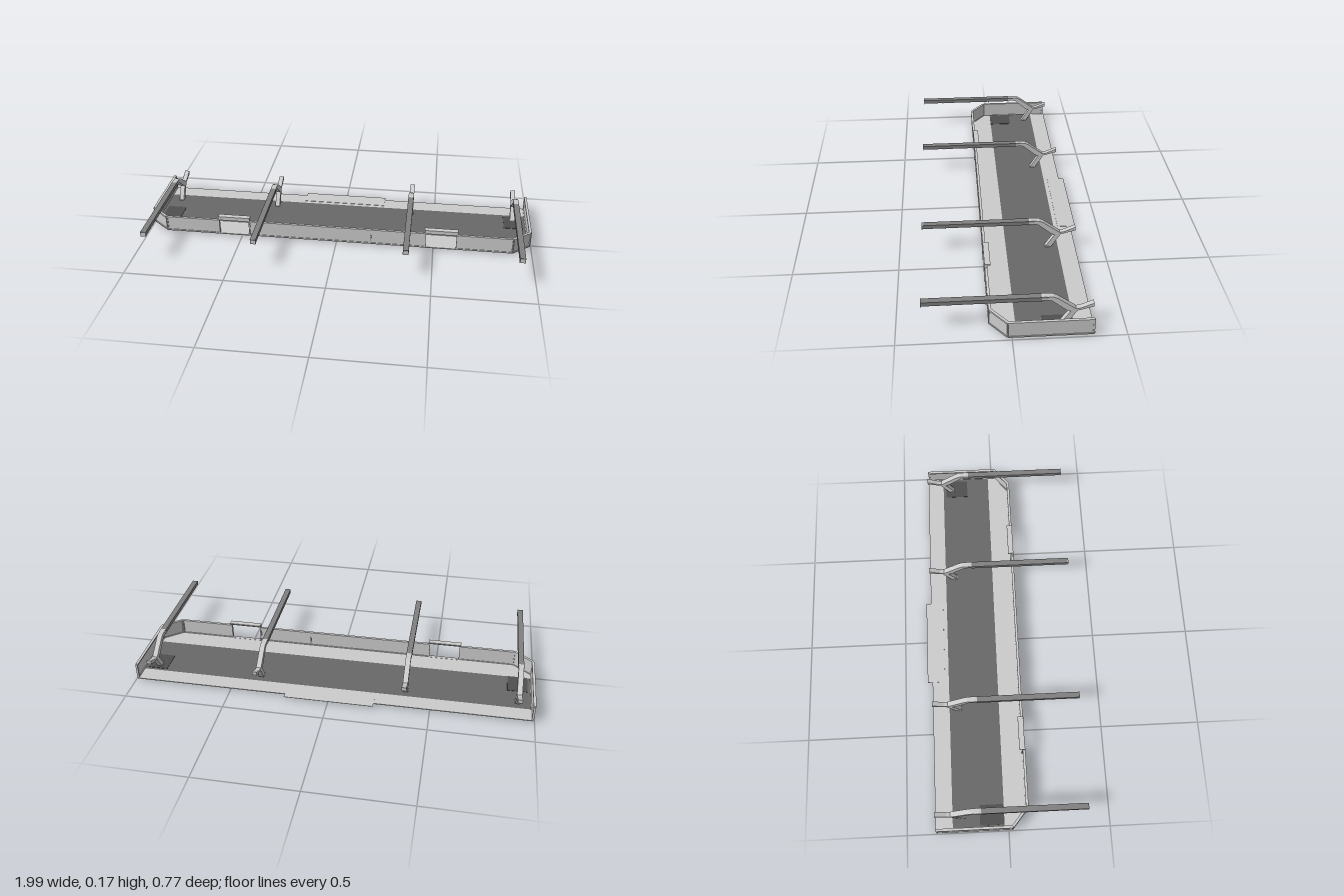
import * as THREE from 'three';

const mat = (color) => new THREE.MeshStandardMaterial({ color, flatShading: true, side: THREE.DoubleSide });

export function createModel() {
  const root = new THREE.Group();
  const light = mat(0xcccccc), dark = mat(0x686868), darker = mat(0x505050), steel = mat(0x808080);

  const add = (parent, name, geo, material, x = 0, y = 0, z = 0) => {
    const m = new THREE.Mesh(geo, material);
    m.name = name;
    m.position.set(x, y, z);
    parent.add(m);
    return m;
  };
  // box given by its limits
  const box = (parent, name, material, x0, x1, y0, y1, z0, z1) =>
    add(parent, name, new THREE.BoxGeometry(x1 - x0, y1 - y0, z1 - z0), material,
      (x0 + x1) / 2, (y0 + y1) / 2, (z0 + z1) / 2);

  // floor: dark middle, light strips along the back and front
  const floor = new THREE.Group();
  floor.name = 'floor';
  root.add(floor);
  box(floor, 'floorMiddle', dark, -0.99, 0.99, 0.008, 0.012, -0.275, -0.02);
  box(floor, 'floorBackStrip', light, -0.99, 0.99, 0.008, 0.012, -0.36, -0.275);
  const front = new THREE.Shape([[-0.99, 0.02], [0.99, 0.02], [0.99, -0.02], [0.9, -0.095],
    [-0.9, -0.095], [-0.99, -0.02]].map(([x, y]) => new THREE.Vector2(x, y)));
  add(floor, 'floorFrontStrip', new THREE.ExtrudeGeometry(front, { depth: 0.004, bevelEnabled: false }),
    light, 0, 0.008, 0).rotation.x = -Math.PI / 2;
  box(floor, 'rightHatch', darker, -0.97, -0.87, 0.006, 0.014, -0.14, -0.02);
  box(floor, 'leftHatch', darker, 0.87, 0.97, 0.006, 0.014, -0.26, -0.14);

  // thin wall panel with top and bottom rails and end posts, between two plan points
  const wall = (name, [x0, z0], [x1, z1]) => {
    const g = new THREE.Group();
    g.name = name;
    const len = Math.hypot(x1 - x0, z1 - z0);
    g.position.set((x0 + x1) / 2, 0, (z0 + z1) / 2);
    g.rotation.y = -Math.atan2(z1 - z0, x1 - x0);
    const h = len / 2;
    box(g, 'panel', light, -h, h, 0.01, 0.09, -0.002, 0.002);
    box(g, 'topRail', light, -h, h, 0.084, 0.092, -0.008, 0.005);
    box(g, 'bottomRail', light, -h, h, 0.008, 0.015, -0.006, 0.005);
    for (const s of [-1, 1]) box(g, 'post', light, s * h - 0.004, s * h + 0.004, 0.01, 0.09, -0.006, 0.004);
    root.add(g);
  };
  for (const s of [-1, 1]) {
    wall('sideWall', [s * 0.99, 0.018], [s * 0.99, -0.352]);
    wall('cornerWall', [s * 0.9, 0.092], [s * 0.99, 0.018]);
    wall('frontOuterWall', [s * 0.62, 0.092], [s * 0.9, 0.092]);
  }
  wall('frontMiddleWall', [-0.457, 0.092], [0.457, 0.092]);
  box(root, 'wallSeam', steel, 0.178, 0.182, 0.012, 0.06, 0.088, 0.096);

  // gate openings in the front wall, each with a hooked header
  for (const s of [-1, 1]) {
    const gate = new THREE.Group();
    gate.name = 'gate';
    gate.position.x = s * 0.538;
    root.add(gate);
    box(gate, 'sill', light, -0.082, 0.082, 0.008, 0.013, 0.082, 0.098);
    box(gate, 'headerFace', light, -0.084, 0.084, 0.092, 0.11, 0.088, 0.098);
    box(gate, 'headerTop', light, -0.084, 0.084, 0.106, 0.112, 0.07, 0.098);
    for (const e of [-1, 1]) box(gate, 'jamb', light, e * 0.081 - 0.003, e * 0.081 + 0.003, 0.01, 0.11, 0.084, 0.1);
  }

  // thin plate projecting behind the back edge
  add(root, 'backPlate', new THREE.BoxGeometry(0.445, 0.002, 0.09), light, -0.003, 0.012, -0.34).rotation.x = -0.02;

  // bar of given width, from a side outline of [z, y] points
  const width = 0.028;
  const sideBar = (parent, name, pts, material, w) => {
    const shape = new THREE.Shape(pts.map(([z, y]) => new THREE.Vector2(z, y)));
    const geo = new THREE.ExtrudeGeometry(shape, { depth: w, bevelEnabled: false });
    geo.translate(0, 0, -w / 2);
    geo.rotateY(-Math.PI / 2);
    add(parent, name, geo, material);
  };

  // four cantilever arms: channel beam, bent neck, raised tail and foot
  for (const x of [-0.92, -0.37, 0.37, 0.917]) {
    const arm = new THREE.Group();
    arm.name = 'arm';
    arm.position.x = x;
    root.add(arm);
    box(arm, 'beamTop', steel, -width / 2, width / 2, 0.166, 0.171, -0.16, 0.385);
    for (const s of [-1, 1]) {
      const cx = s * (width / 2 - 0.002);
      box(arm, 'beamSide', steel, cx - 0.002, cx + 0.002, 0.151, 0.168, -0.13, 0.385);
    }
    box(arm, 'beamCap', light, -width / 2, width / 2, 0.146, 0.171, 0.381, 0.385);
    for (const z of [0.27, 0.11, -0.01, -0.13]) box(arm, 'peg', steel, -0.012, 0.012, 0.146, 0.158, z - 0.002, z + 0.002);
    sideBar(arm, 'neck', [[-0.1, 0.168], [-0.14, 0.172], [-0.18, 0.17], [-0.2, 0.16], [-0.285, 0.095],
      [-0.27, 0.08], [-0.24, 0.092], [-0.175, 0.148], [-0.16, 0.153], [-0.1, 0.152]], light, 0.026);
    sideBar(arm, 'tail', [[-0.27, 0.096], [-0.3, 0.1], [-0.358, 0.125], [-0.358, 0.106], [-0.3, 0.09], [-0.27, 0.084]], light, 0.024);
    sideBar(arm, 'strut', [[-0.265, 0.095], [-0.29, 0.092], [-0.24, 0.01], [-0.21, 0.01]], light, 0.024);
    add(arm, 'footPin', new THREE.CylinderGeometry(0.015, 0.012, 0.016, 12), light, 0, 0.008, -0.225);
  }
  return root;
}
